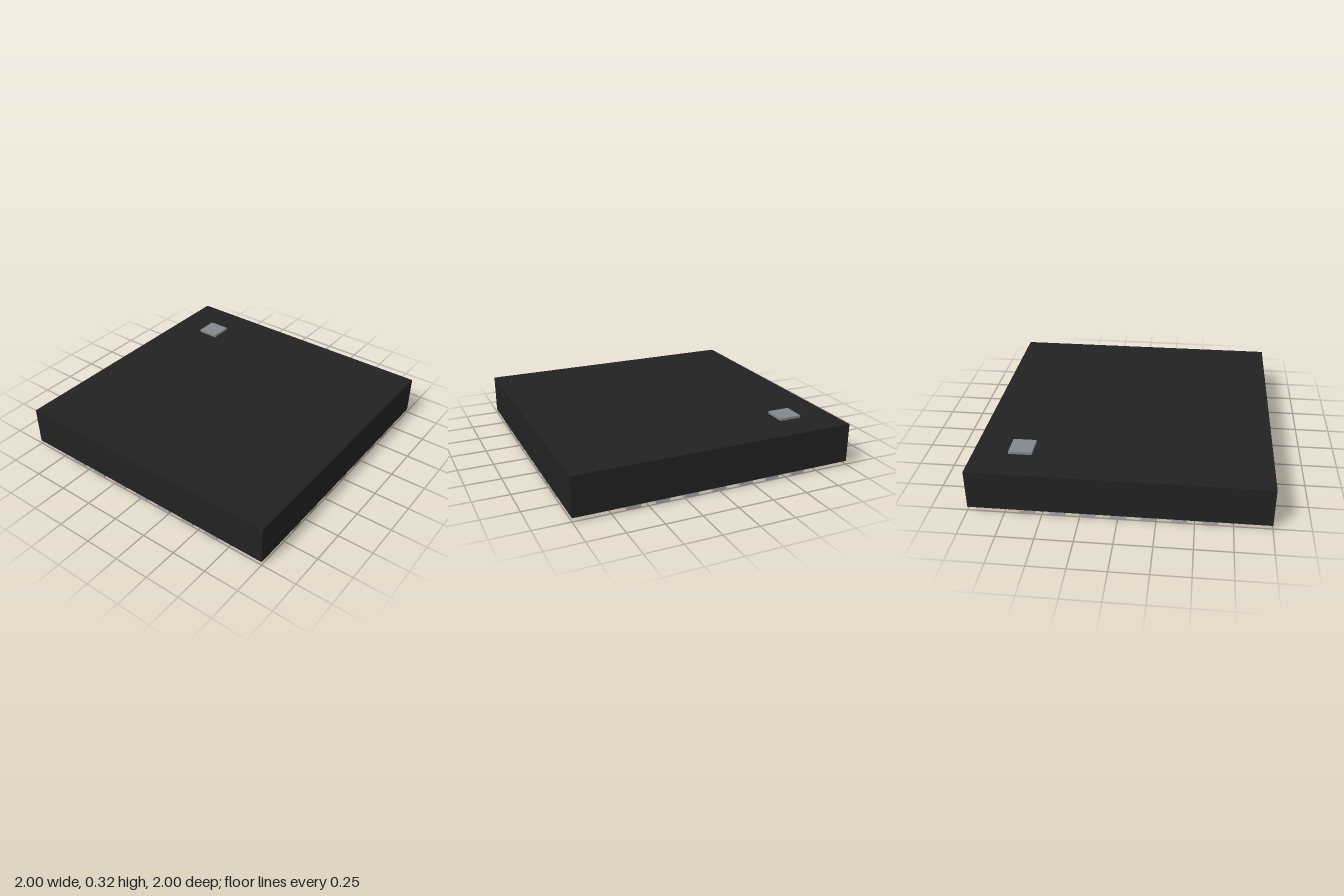
import * as THREE from 'three';

export function createModel() {
  const group = new THREE.Group();
  const mat = (name, color) => Object.assign(new THREE.MeshStandardMaterial({ color }), { name });
  const black = mat('blackPlastic', 0x222222);
  const metal = mat('padMetal', 0xa6a8ad);
  const grey = mat('markerGrey', 0x84888c);

  // Box given by its size, its centre in plan and its underside
  function box(name, material, w, h, d, x, y, z, parent = group) {
    const mesh = new THREE.Mesh(new THREE.BoxGeometry(w, h, d), material);
    mesh.name = name;
    mesh.position.set(x, y + h / 2, z);
    parent.add(mesh);
    return mesh;
  }

  const padHeight = 0.025;
  const bodyTop = 0.302;

  // Chip package and the square marking the first contact
  box('body', black, 2, bodyTop - padHeight, 2, 0, padHeight, 0);
  box('cornerMarker', grey, 0.16, 0.018, 0.16, -0.68, bodyTop, -0.68);

  // Large pad under the middle
  box('centrePad', metal, 1.3, padHeight, 1.3, 0, 0, 0);

  // Seven contacts along each of the four sides
  const padLength = 0.22;
  for (let side = 0; side < 4; side++) {
    const row = new THREE.Group();
    row.name = 'contactRow' + (side + 1);
    for (let i = -3; i <= 3; i++) {
      box('contactPad', metal, 0.1, padHeight, padLength, i * 0.2, 0, 1 - padLength / 2, row);
    }
    row.rotation.y = side * Math.PI / 2;
    group.add(row);
  }

  return group;
}
